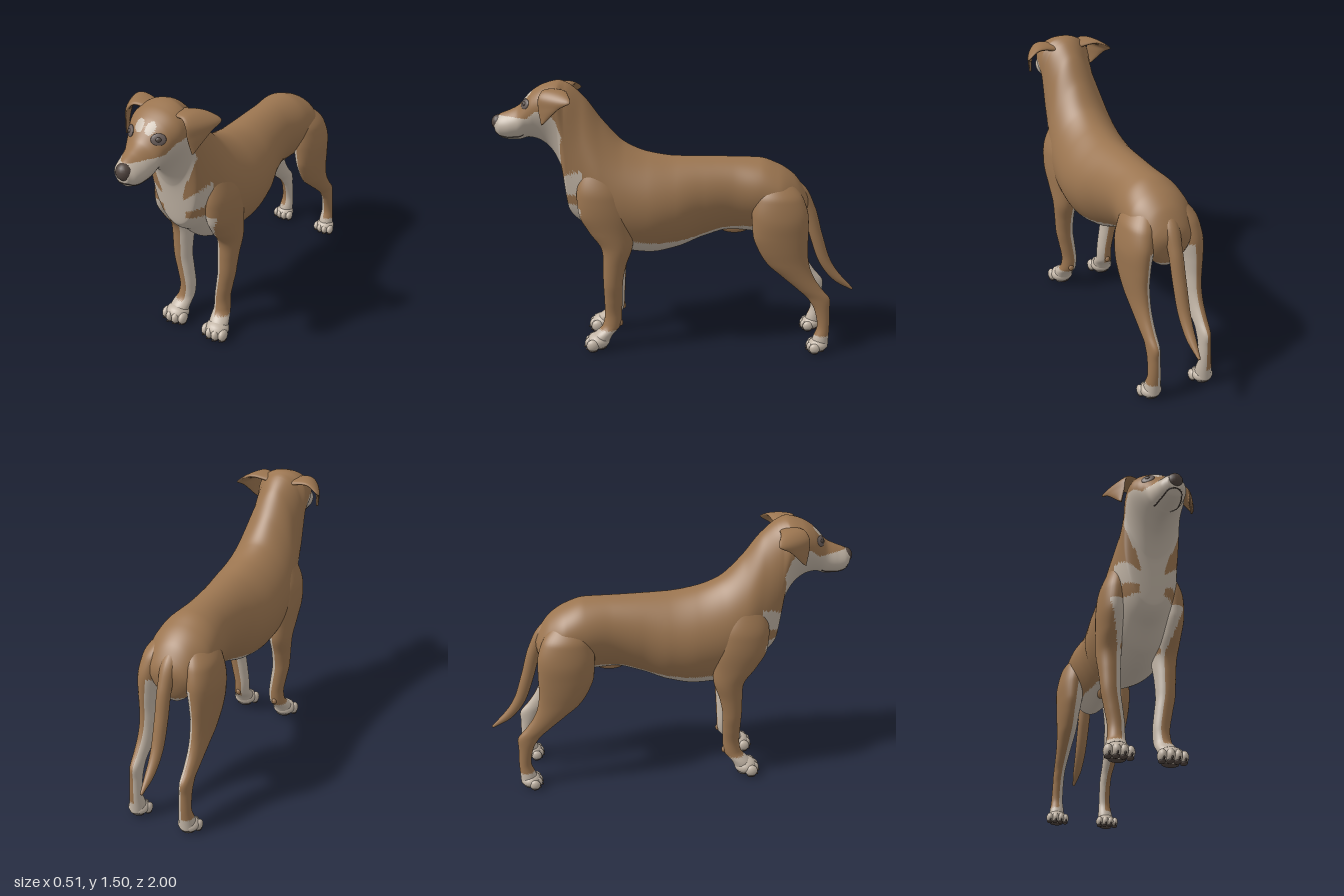
import * as THREE from 'three';

const mat = (name, color) => {
  const m = new THREE.MeshStandardMaterial({ color });
  m.name = name;
  return m;
};
const V = (x, y, z) => new THREE.Vector3(x, y, z);

// Monotone cubic interpolation of every column of a key table, keyed on column 0
function sample(keys, t) {
  const n = keys.length;
  let i = 0;
  while (i < n - 2 && t > keys[i + 1][0]) i++;
  const h = keys[i + 1][0] - keys[i][0];
  const u = THREE.MathUtils.clamp((t - keys[i][0]) / h, 0, 1);
  const secant = (k, c) => (keys[k + 1][c] - keys[k][c]) / (keys[k + 1][0] - keys[k][0]);
  const slope = (k, c) => {
    if (k === 0) return secant(0, c);
    if (k === n - 1) return secant(n - 2, c);
    const a = secant(k - 1, c), b = secant(k, c);
    return a * b > 0 ? (2 * a * b) / (a + b) : 0;
  };
  return keys[i].map((p, c) => c === 0 ? t :
    p * (2 * u ** 3 - 3 * u * u + 1) + keys[i + 1][c] * (3 * u * u - 2 * u ** 3) +
    h * (slope(i, c) * (u ** 3 - 2 * u * u + u) + slope(i + 1, c) * (u ** 3 - u * u)));
}

// Closed skin over rings of points; colour(centroid, angle) picks the material group
function loft(rings, colour = () => 0) {
  const n = rings[0].length, pts = rings.flat(), buckets = [[], []];
  const mean = r => r.reduce((s, p) => s.add(p), V(0, 0, 0)).divideScalar(n);
  const tris = [], first = pts.length, last = first + 1;
  pts.push(mean(rings[0]), mean(rings[rings.length - 1]));
  for (let i = 0; i < n; i++) {
    const j = (i + 1) % n, e = (rings.length - 1) * n, ang = ((i + 0.5) / n) * 2 * Math.PI;
    tris.push([first, j, i, ang], [last, e + i, e + j, ang]);
    for (let r = 0; r < rings.length - 1; r++) {
      const a = r * n + i, b = r * n + j;
      tris.push([a, b, b + n, ang], [a, b + n, a + n, ang]);
    }
  }
  let volume = 0;
  for (const [a, b, c] of tris) volume += pts[a].dot(V(0, 0, 0).crossVectors(pts[b], pts[c]));
  for (const [a, b, c, ang] of tris) {
    const mid = V(0, 0, 0).add(pts[a]).add(pts[b]).add(pts[c]).divideScalar(3);
    buckets[colour(mid, ang) ? 1 : 0].push(...(volume > 0 ? [a, b, c] : [a, c, b]));
  }
  const g = new THREE.BufferGeometry().setFromPoints(pts);
  g.setIndex([...buckets[0], ...buckets[1]]);
  g.addGroup(0, buckets[0].length, 0);
  g.addGroup(buckets[0].length, buckets[1].length, 1);
  g.computeVertexNormals();
  return g;
}

// Reflected copy for the other side, with the corner order restored
function mirror(g) {
  const m = g.clone().scale(-1, 1, 1), ix = m.index;
  for (let i = 0; i < ix.count; i += 3) {
    const a = ix.getX(i);
    ix.setX(i, ix.getX(i + 2));
    ix.setX(i + 2, a);
  }
  return m;
}

// Trunk slices from rump to muzzle: z, top, bottom, width low / middle / high
const TRUNK = [
  [-0.72, 0.87, 0.80, 0.03, 0.04, 0.04], [-0.70, 0.91, 0.72, 0.07, 0.10, 0.10],
  [-0.64, 0.99, 0.66, 0.10, 0.14, 0.15], [-0.55, 1.047, 0.65, 0.10, 0.17, 0.185],
  [-0.45, 1.08, 0.66, 0.10, 0.167, 0.175], [-0.30, 1.085, 0.675, 0.11, 0.152, 0.155],
  [-0.15, 1.087, 0.635, 0.13, 0.168, 0.165], [0, 1.09, 0.575, 0.17, 0.203, 0.18],
  [0.15, 1.112, 0.545, 0.18, 0.22, 0.19], [0.28, 1.165, 0.555, 0.18, 0.215, 0.18],
  [0.40, 1.285, 0.60, 0.18, 0.20, 0.15], [0.50, 1.415, 0.695, 0.18, 0.168, 0.15],
  [0.59, 1.488, 0.78, 0.15, 0.15, 0.19], [0.63, 1.50, 1.03, 0.11, 0.145, 0.20],
  [0.70, 1.485, 1.15, 0.09, 0.14, 0.19], [0.76, 1.455, 1.185, 0.08, 0.122, 0.15],
  [0.80, 1.42, 1.192, 0.08, 0.105, 0.11], [0.85, 1.365, 1.18, 0.08, 0.09, 0.075],
  [0.90, 1.34, 1.18, 0.075, 0.08, 0.062], [0.95, 1.32, 1.19, 0.058, 0.064, 0.045],
  [0.98, 1.30, 1.22, 0.032, 0.036, 0.03],
];
function skin(z, a) {
  const [, top, bot, lo, mid, hi] = sample(TRUNK, z), s = Math.sin(a);
  const w = mid + ((hi - lo) / 2) * s + ((hi + lo) / 2 - mid) * s * s;
  const shift = 0.013 * Math.exp(-(((z - 0.1) / 0.25) ** 2));
  return V(shift + w * Math.cos(a), (top + bot) / 2 + ((top - bot) / 2) * s, z);
}

// Pale markings on belly, chest, throat, muzzle and brow
const BELLY = [[-0.72, 0.70], [-0.4, 0.71], [-0.25, 0.70], [-0.1, 0.655], [0.1, 0.635], [0.28, 0.65], [0.45, 0.78]];
const FACE = [[0.6, 1.2], [0.64, 1.31], [0.69, 1.36], [0.74, 1.35], [0.8, 1.31], [0.98, 1.315]];
function pale({ x, y, z }) {
  const ax = Math.abs(x);
  if (z > 0.7 && Math.hypot(ax - 0.03, y - 1.422) < 0.025) return true;
  if (z > 0.6 && y > 1.08) return y < sample(FACE, z)[1] && (z > 0.68 || ax < 0.06 + (y - 0.95) * 0.35);
  if (z <= 0.45) return y < sample(BELLY, z)[1];
  if (y > 1.2) return false;
  return ax < 0.065 + Math.max(0, y - 0.98) * 0.3 || (y < 0.84 && z > 0.44 + (y - 0.74) * 0.6) ||
    (ax < 0.17 && y > 0.88 + (ax - 0.06) * 0.3 && y < 0.95 + (ax - 0.06) * 0.8);
}

// Leg slices from ankle up: y, x, z, half width, half depth
const FRONT_LEG = [
  [0.03, 0.135, 0.435, 0.055, 0.05], [0.08, 0.132, 0.415, 0.055, 0.054], [0.14, 0.12, 0.364, 0.046, 0.05],
  [0.2, 0.117, 0.354, 0.044, 0.048], [0.3, 0.13, 0.352, 0.047, 0.05], [0.4, 0.145, 0.35, 0.051, 0.054],
  [0.5, 0.148, 0.34, 0.056, 0.063], [0.6, 0.15, 0.325, 0.064, 0.083], [0.7, 0.155, 0.355, 0.067, 0.118],
  [0.8, 0.16, 0.385, 0.07, 0.14], [0.9, 0.153, 0.40, 0.073, 0.135], [1.02, 0.135, 0.41, 0.052, 0.095],
  [1.1, 0.11, 0.41, 0.03, 0.04],
];
const HIND_LEG = [
  [0.03, 0.152, -0.80, 0.045, 0.05], [0.08, 0.15, -0.808, 0.042, 0.044], [0.15, 0.148, -0.82, 0.034, 0.034],
  [0.25, 0.147, -0.808, 0.032, 0.042], [0.31, 0.147, -0.79, 0.032, 0.06], [0.37, 0.148, -0.735, 0.036, 0.068],
  [0.44, 0.148, -0.67, 0.043, 0.085], [0.52, 0.148, -0.61, 0.053, 0.115], [0.6, 0.15, -0.58, 0.061, 0.135],
  [0.68, 0.148, -0.565, 0.07, 0.15], [0.78, 0.14, -0.56, 0.08, 0.153], [0.88, 0.12, -0.55, 0.08, 0.135],
  [0.96, 0.085, -0.53, 0.055, 0.09], [1.0, 0.06, -0.52, 0.02, 0.03],
];
const ring = (n, f) => Array.from({ length: n }, (_, i) => f((i / n) * 2 * Math.PI));
const steps = (n, f) => Array.from({ length: n + 1 }, (_, i) => f(i / n));

// Rings packed closer on the steep breast
function trunkGeometry() {
  const zs = [[-0.72, 0.57, 130], [0.57, 0.66, 110], [0.66, 0.98, 64]]
    .flatMap(([a, b, n]) => steps(n, t => a + (b - a) * t).slice(a > 0 ? 1 : 0));
  return loft(zs.map(z => ring(88, a => skin(z, a))), pale);
}

function legGeometry(keys, isPale) {
  const y0 = keys[0][0], y1 = keys[keys.length - 1][0];
  return loft(steps(90, t => {
    const [y, x, z, rx, rz] = sample(keys, y0 + (y1 - y0) * t);
    return ring(36, a => V(x + rx * Math.cos(a), y, z + rz * Math.sin(a)));
  }), isPale);
}

function earGeometry() {
  const front = new THREE.CatmullRomCurve3([V(0.06, 1.45, 0.68), V(0.14, 1.46, 0.70),
    V(0.17, 1.43, 0.715), V(0.178, 1.37, 0.715), V(0.19, 1.293, 0.70)]);
  const back = new THREE.CatmullRomCurve3([V(0.06, 1.44, 0.58), V(0.18, 1.455, 0.56),
    V(0.25, 1.42, 0.54), V(0.235, 1.385, 0.60), V(0.197, 1.303, 0.685)]);
  return loft(steps(28, t => {
    const f = front.getPoint(t), b = back.getPoint(t);
    const c = f.clone().add(b).multiplyScalar(0.5), u = b.clone().sub(f).multiplyScalar(0.5);
    const along = front.getTangent(t).add(back.getTangent(t));
    const n = u.clone().cross(along).setLength(0.018 - 0.011 * t);
    return ring(20, a => c.clone().addScaledVector(u, Math.cos(a)).addScaledVector(n, Math.sin(a)));
  }));
}

function tailGeometry() {
  const path = new THREE.CatmullRomCurve3([V(0, 0.95, -0.57), V(0, 0.90, -0.66), V(0, 0.79, -0.73),
    V(-0.003, 0.63, -0.78), V(-0.005, 0.48, -0.835), V(-0.005, 0.39, -0.9), V(-0.005, 0.312, -0.997)]);
  const radius = [[0, 0.04], [0.15, 0.045], [0.3, 0.037], [0.6, 0.034], [0.85, 0.025], [1, 0.007]];
  return loft(steps(48, t => {
    const c = path.getPointAt(t), d = path.getTangentAt(t), r = sample(radius, t)[1];
    const n = V(1, 0, 0).cross(d).normalize();
    return ring(20, a => c.clone().addScaledVector(n, r * Math.sin(a)).add(V(r * Math.cos(a), 0, 0)));
  }));
}

export function createModel() {
  const model = new THREE.Group();
  model.name = 'dog';
  const tan = mat('tan fur', 0x9b7550), cream = mat('cream fur', 0xc2b5a6);
  const dark = mat('nose and pads', 0x51453f), grey = mat('eye grey', 0x6b5f5b);
  const add = (name, geo, material, parent = model) => {
    const mesh = new THREE.Mesh(geo, material);
    mesh.name = name;
    parent.add(mesh);
    return mesh;
  };
  const blob = (name, material, p, r, parent) => {
    const mesh = add(name, new THREE.SphereGeometry(1, 18, 12), material, parent);
    mesh.position.set(...p);
    mesh.scale.set(...r);
    return mesh;
  };
  const fur = [tan, cream];

  // Torso, neck and head in one skin
  add('trunkAndHead', trunkGeometry(), fur);
  add('tail', tailGeometry(), tan);
  blob('sheath', tan, [0, 0.68, -0.32], [0.03, 0.03, 0.08]);
  blob('nose', dark, [0.003, 1.272, 0.96], [0.041, 0.043, 0.04]);

  // Mouth line wrapping the muzzle
  const lip = s => steps(6, t => skin(0.82 + 0.145 * t, -0.85)).map(p => V(p.x * s, p.y, p.z));
  const mouth = new THREE.CatmullRomCurve3([...lip(1), V(0, 1.222, 0.981), ...lip(-1).reverse()]);
  add('mouth', new THREE.TubeGeometry(mouth, 60, 0.003, 6), dark);

  const ear = earGeometry();
  const frontLeg = legGeometry(FRONT_LEG, ({ x, y, z }, a) => y < 0.62 ?
    y < 0.12 || Math.cos(a) < -0.3 : y < 0.84 && z > 0.40 && x < 0.2 - (0.84 - y) * 0.33);
  const hindLeg = legGeometry(HIND_LEG, (p, a) => p.y < 0.1 || (Math.cos(a) < -0.25 && p.y < 0.78));

  for (const [side, s] of [['left', 1], ['right', -1]]) {
    const sided = g => (s > 0 ? g : mirror(g));
    add(side + 'Ear', sided(ear), tan);
    add(side + 'FrontLeg', sided(frontLeg), fur);
    add(side + 'HindLeg', sided(hindLeg), fur);

    // Eye set flat into the brow, with pupil
    const look = V(s * 0.6, 0.35, 0.75).normalize();
    const at = V(s * 0.08, 1.384, 0.8);
    for (const [name, m, r, out] of [['Eye', grey, 0.036, 0], ['Pupil', dark, 0.015, 0.005]]) {
      const e = blob(side + name, m, at.clone().addScaledVector(look, out).toArray(), [r, r * 0.8, 0.009]);
      e.lookAt(e.position.clone().add(look));
    }

    // Paws: foot, four toes with claws, and dark pads below
    for (const [name, x, z, k] of [['FrontPaw', 0.135, 0.442, 1], ['HindPaw', 0.152, -0.792, 0.84]]) {
      const paw = new THREE.Group();
      paw.name = side + name;
      paw.position.set(s * x, 0, z);
      paw.scale.setScalar(k);
      model.add(paw);
      blob('foot', cream, [0, 0.05, -0.003], [0.068, 0.046, 0.064], paw);
      blob('heelPad', dark, [0, 0.012, -0.015], [0.045, 0.012, 0.035], paw);
      for (const i of [-1.5, -0.5, 0.5, 1.5]) {
        const tz = 0.046 - Math.abs(i) * 0.014;
        blob('toe', cream, [i * 0.037, 0.039, tz], [0.023, 0.034, 0.036], paw);
        blob('toePad', dark, [i * 0.037, 0.01, tz], [0.018, 0.01, 0.026], paw);
        blob('claw', dark, [i * 0.037, 0.02, tz + 0.032], [0.005, 0.008, 0.009], paw);
      }
    }
    blob(side + 'WristPad', tan, [s * 0.122, 0.152, 0.316], [0.016, 0.02, 0.016]);
  }
  return model;
}
